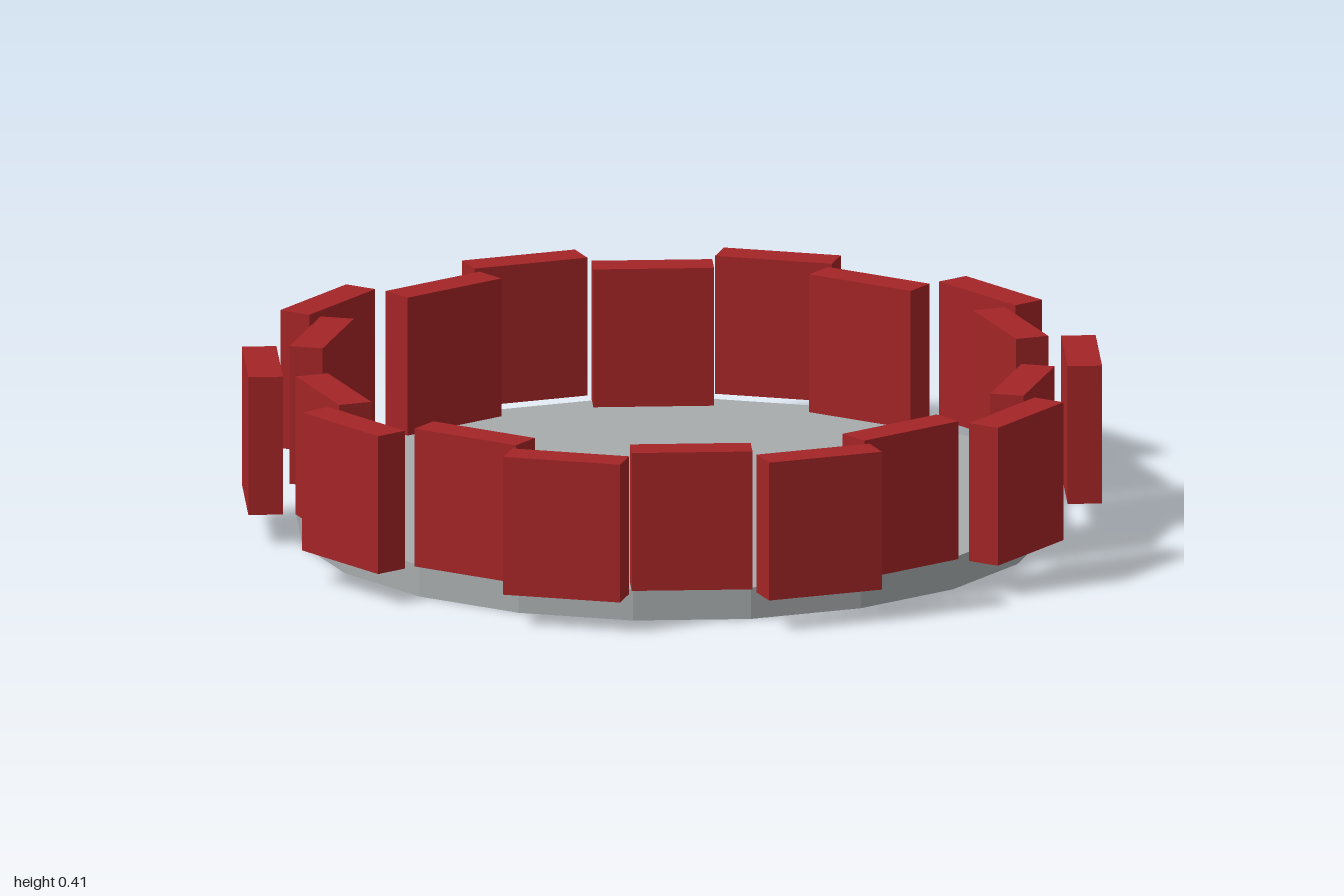
import * as THREE from 'three';

const SIDES = 20;
const BASE_HEIGHT = 0.075;
const BASE_RADIUS = 0.875;
const BLOCK = { width: 0.28, height: 0.33, depth: 0.08 };
const OUTER_RADIUS = 0.95;
const INNER_RADIUS = 0.84;

export function createModel() {
  const model = new THREE.Group();
  model.name = 'crenellatedRing';

  const stone = new THREE.MeshStandardMaterial({ color: 0xa7abad, flatShading: true });
  stone.name = 'grey stone';
  const brick = new THREE.MeshStandardMaterial({ color: 0xa32426, flatShading: true });
  brick.name = 'dark red';

  // Flat faceted floor disc
  const base = new THREE.Mesh(
    new THREE.CylinderGeometry(BASE_RADIUS, BASE_RADIUS, BASE_HEIGHT, SIDES), stone);
  base.name = 'baseDisc';
  base.position.y = BASE_HEIGHT / 2;
  model.add(base);

  // Ring of upright blocks, alternating between an outer and an inner circle
  const ring = new THREE.Group();
  ring.name = 'blockRing';
  const blockGeometry = new THREE.BoxGeometry(BLOCK.width, BLOCK.height, BLOCK.depth);
  for (let i = 0; i < SIDES; i++) {
    const outer = i % 2 === 0;
    const angle = ((i + 0.5) / SIDES) * Math.PI * 2;
    const radius = outer ? OUTER_RADIUS : INNER_RADIUS;
    const block = new THREE.Mesh(blockGeometry, brick);
    block.name = outer ? 'outerBlock' : 'innerBlock';
    block.position.set(
      Math.sin(angle) * radius,
      BASE_HEIGHT + BLOCK.height / 2,
      -Math.cos(angle) * radius);
    block.rotation.y = -angle;
    ring.add(block);
  }
  model.add(ring);

  return model;
}
